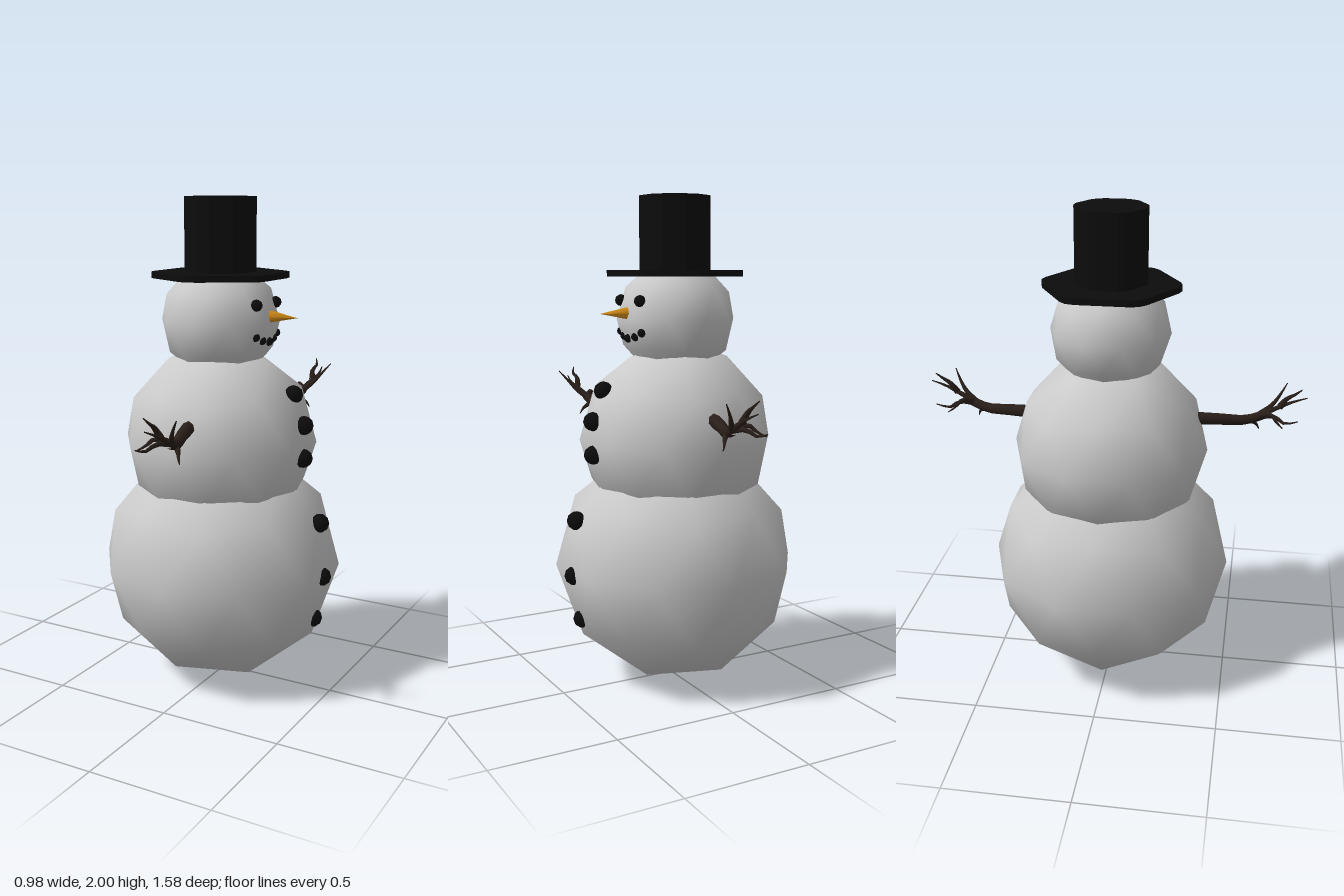
import * as THREE from 'three';

const mat = (color) => new THREE.MeshStandardMaterial({ color });
const snow = mat(0xcccccc), coal = mat(0x0c0c0c), felt = mat(0x0c0c0c);
const carrot = mat(0xd08a18), bark = mat(0x2a1f19);
const V = (p) => new THREE.Vector3(...p);

function add(parent, name, geometry, material, pos = [0, 0, 0]) {
  const mesh = new THREE.Mesh(geometry, material);
  mesh.name = name;
  mesh.position.set(...pos);
  parent.add(mesh);
  return mesh;
}

// Smooth low-poly ball with its poles on the y axis
function ball(radius) {
  const g = new THREE.IcosahedronGeometry(radius, 1);
  g.rotateZ(-Math.atan(2 / (1 + Math.sqrt(5))));
  return g;
}

// Upright hexagonal prism with softened corners, pointing along z
function softHexPrism(apothem, corner, spread, height) {
  const pts = [];
  const step = Math.PI / 6;
  for (let i = 0; i < 6; i++) {
    for (const d of [-spread, 0, spread]) {
      const a = Math.PI / 2 + i * Math.PI / 3 + d;
      const r = d === 0 ? corner : apothem / Math.cos(step - spread);
      pts.push(new THREE.Vector2(r * Math.cos(a), r * Math.sin(a)));
    }
  }
  const g = new THREE.ExtrudeGeometry(new THREE.Shape(pts), { depth: height, bevelEnabled: false });
  return g.rotateX(-Math.PI / 2);
}

// Tube along points whose radius shrinks from r0 to r1
function twig(points, r0, r1, sides = 6) {
  const curve = new THREE.CatmullRomCurve3(points);
  const segs = (points.length - 1) * 2;
  const g = new THREE.TubeGeometry(curve, segs, 1, sides);
  const p = g.attributes.position, v = new THREE.Vector3();
  for (let i = 0; i < p.count; i++) {
    const u = Math.floor(i / (sides + 1)) / segs;
    const c = curve.getPointAt(u);
    v.fromBufferAttribute(p, i).sub(c).multiplyScalar(r0 + (r1 - r0) * u).add(c);
    p.setXYZ(i, v.x, v.y, v.z);
  }
  return g;
}

// Branch arm; side is +1 or -1 along z
function arm(name, side, shift) {
  const group = new THREE.Group();
  group.name = name;
  const place = (list) => list.map(([x, y, z]) => V([x + shift, y, z * side]));
  add(group, 'branch', twig(place([
    [0.035, 1.135, 0.345], [0.065, 1.125, 0.45], [0.095, 1.115, 0.54], [0.108, 1.135, 0.61],
  ]), 0.027, 0.019, 7), bark);
  const fingers = [
    [[0.106, 1.13, 0.59], [0.12, 1.17, 0.68], [0.13, 1.19, 0.73], [0.12, 1.215, 0.79]],
    [[0.106, 1.13, 0.59], [0.14, 1.165, 0.645], [0.165, 1.2, 0.675], [0.2, 1.247, 0.706]],
    [[0.106, 1.13, 0.59], [0.085, 1.14, 0.66], [0.065, 1.12, 0.7], [0.055, 1.135, 0.755]],
    [[0.1, 1.12, 0.55], [0.125, 1.095, 0.575], [0.135, 1.08, 0.59], [0.145, 1.058, 0.598]],
    [[0.106, 1.135, 0.6], [0.07, 1.155, 0.645], [0.045, 1.13, 0.67], [0.02, 1.115, 0.695]],
    [[0.12, 1.17, 0.68], [0.11, 1.21, 0.705], [0.115, 1.23, 0.74], [0.1, 1.257, 0.765]],
  ];
  fingers.forEach((f, i) => add(group, 'finger' + (i + 1), twig(place(f), 0.015, 0.002, 5), bark));
  return group;
}

export function createModel() {
  const model = new THREE.Group();
  model.name = 'snowman';

  // Three stacked snowballs
  add(model, 'lowerBody', ball(0.5), snow, [-0.015, 0.5, -0.003]);
  add(model, 'upperBody', ball(0.4), snow, [-0.02, 1.02, -0.003]);
  add(model, 'head', ball(0.243), snow, [-0.02, 1.51, -0.003]);

  // Coal buttons down the chest
  const buttons = [[0.31, 1.23], [0.358, 1.11], [0.357, 0.975], [0.435, 0.715], [0.449, 0.49], [0.413, 0.305]];
  buttons.forEach(([x, y], i) => add(model, 'button' + (i + 1), ball(0.039), coal, [x, y, -0.006]));

  // Face
  for (const s of [-1, 1]) add(model, s < 0 ? 'backEye' : 'frontEye', ball(0.024), coal, [0.187, 1.585, -0.003 + s * 0.084]);
  [[0.083, 1.461], [0.04, 1.444], [-0.006, 1.436], [-0.055, 1.444], [-0.098, 1.461]].forEach(([z, y], i) =>
    add(model, 'mouthCoal' + (i + 1), ball(0.018), coal, [0.198 - Math.abs(z + 0.007) * 0.15, y, z]));
  const nose = new THREE.ConeGeometry(0.032, 0.145, 6);
  nose.rotateZ(-Math.PI / 2);
  add(model, 'nose', nose, carrot, [0.25, 1.535, -0.007]);

  // Top hat
  const hat = new THREE.Group();
  hat.name = 'hat';
  hat.position.set(-0.018, 0, 0);
  add(hat, 'brim', softHexPrism(0.249, 0.277, 0.13, 0.025), felt, [0, 1.68, 0]);
  add(hat, 'crown', softHexPrism(0.136, 0.144, 0.2, 0.3), felt, [0, 1.7, 0]);
  model.add(hat);

  // Branch arms on both sides of the upper body
  model.add(arm('frontArm', 1, 0), arm('backArm', -1, -0.03));
  return model;
}
